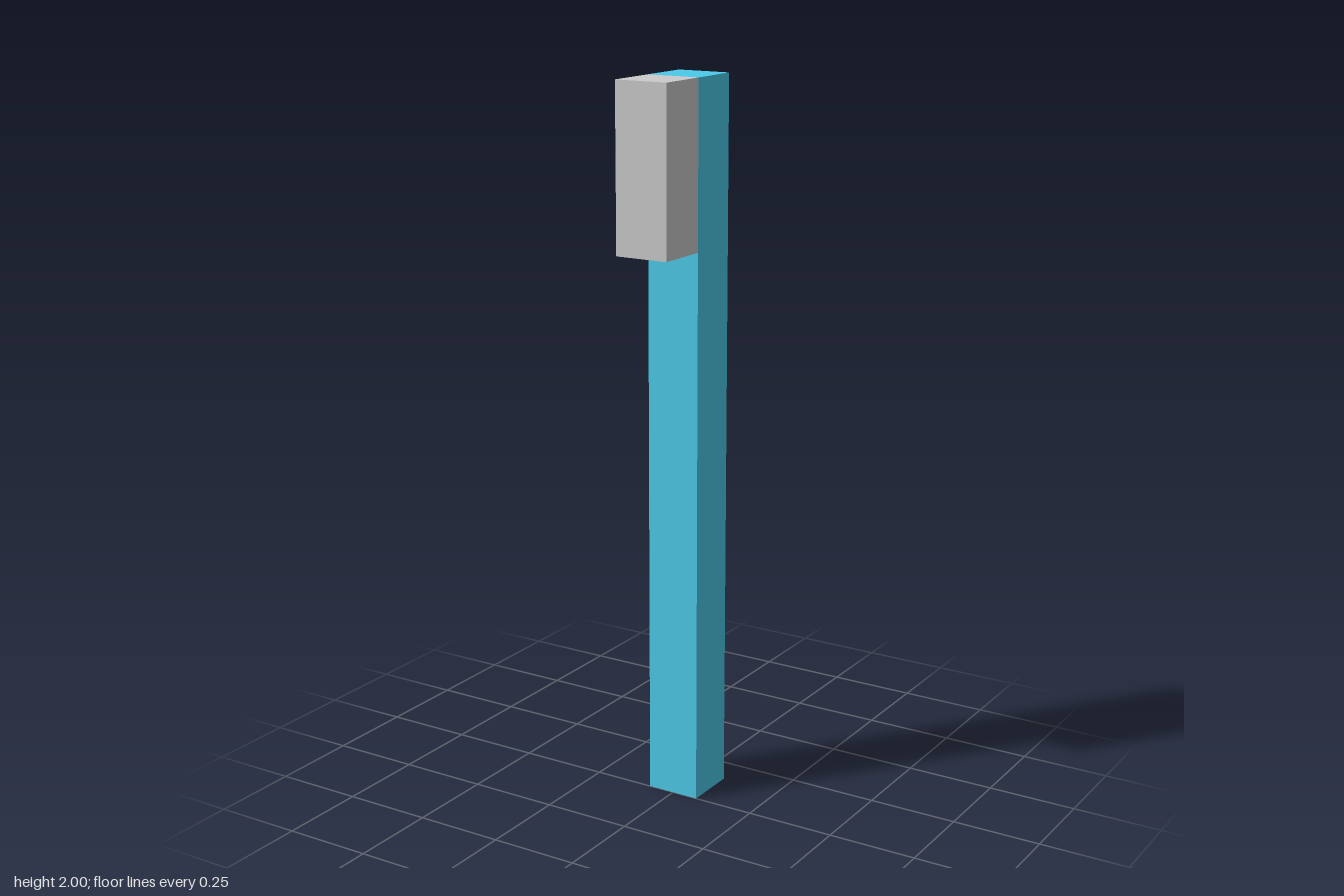
import * as THREE from 'three';

const WIDTH = 0.153;  // both parts share one square section
const HEIGHT = 2;
const BLOCK_BOTTOM = 1.55;

function box(name, bottom, top, z, color) {
  const mesh = new THREE.Mesh(
    new THREE.BoxGeometry(WIDTH, top - bottom, WIDTH),
    new THREE.MeshStandardMaterial({ color, flatShading: true })
  );
  mesh.name = name;
  mesh.position.set(0, (bottom + top) / 2, z);
  return mesh;
}

export function createModel() {
  const model = new THREE.Group();
  model.name = 'postWithBlock';
  // Full-height post at the back
  model.add(box('post', 0, HEIGHT, -WIDTH / 2, 0x4dcbeb));
  // Short block on the post's front face, flush with its top
  model.add(box('topBlock', BLOCK_BOTTOM, HEIGHT, WIDTH / 2, 0xcccccc));
  return model;
}
